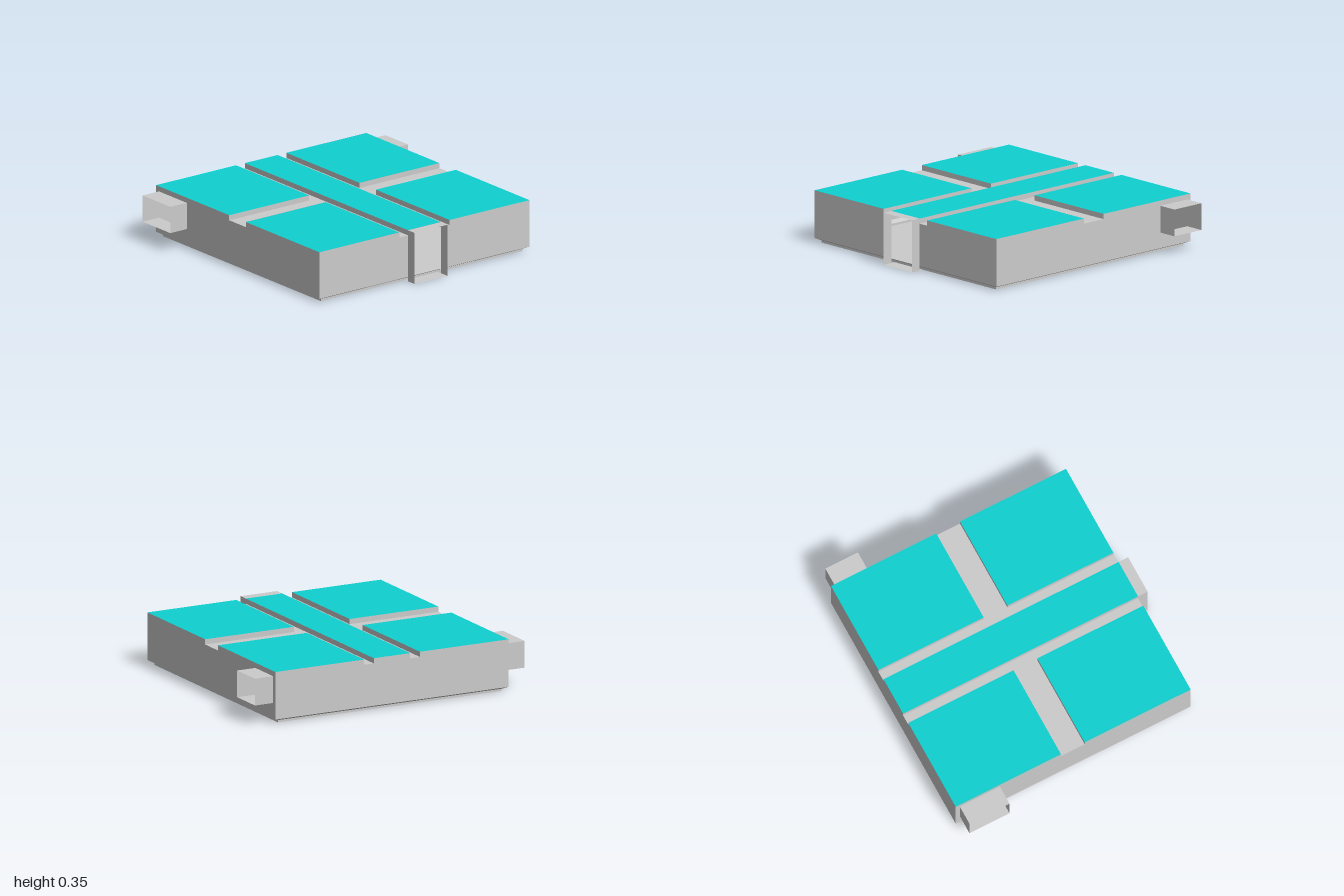
import * as THREE from 'three';

const grey = new THREE.MeshStandardMaterial({ color: 0xcccccc, side: THREE.DoubleSide, flatShading: true });
const teal = new THREE.MeshStandardMaterial({ color: 0x10d0d0, side: THREE.DoubleSide, flatShading: true });

// One mesh from a list of four-cornered sheets (corners anticlockwise from outside)
function sheets(name, quads, material = grey) {
  const pos = [];
  for (const [a, b, c, d] of quads) for (const p of [a, b, c, a, c, d]) pos.push(...p);
  const geo = new THREE.BufferGeometry();
  geo.setAttribute('position', new THREE.Float32BufferAttribute(pos, 3));
  geo.computeVertexNormals();
  const mesh = new THREE.Mesh(geo, material);
  mesh.name = name;
  return mesh;
}

// Horizontal rectangle, and the band of four walls between two of them
const rect = (x0, x1, z0, z1, y) => [[x0, y, z1], [x1, y, z1], [x1, y, z0], [x0, y, z0]];
const band = (lo, hi) => lo.map((p, i) => {
  const j = (i + 1) % 4;
  return [p, lo[j], hi[j], hi[i]];
});
// Upright rectangles facing +z or -z, and +x or -x
const wallZ = (x0, x1, y0, y1, z) => {
  const q = [[x0, y0, z], [x1, y0, z], [x1, y1, z], [x0, y1, z]];
  return z > 0 ? q : q.reverse();
};
const wallX = (z0, z1, y0, y1, x) => {
  const q = [[x, y0, z1], [x, y0, z0], [x, y1, z0], [x, y1, z1]];
  return x > 0 ? q : q.reverse();
};

export function createModel() {
  const group = new THREE.Group();
  const X0 = -0.9, X1 = 0.83, Z = 0.865;      // hollow body
  const lip = 0.03, ledge = 0.315, top = 0.35; // heights
  const strip = 0.135, gap = 0.207;           // centre strip and long grooves
  const g0 = -0.125, g1 = 0.05;               // cross groove
  const portX = -0.87, portY = 0.135;         // end ports

  // Base plate with a chamfer up to the body
  const foot = (y) => rect(-0.87, 0.8, -0.83, 0.83, y);
  const flare = band(foot(0.015), rect(X0, X1, -Z, Z, lip));
  group.add(sheets('basePlate', [foot(0).reverse(), ...band(foot(0), foot(0.015)), ...flare]));

  // Body walls up to the groove floors, with openings behind the ports
  const walls = [wallX(-Z, Z, lip, ledge, X0)];
  for (const s of [-1, 1]) {
    const end = s > 0 ? -0.575 : -0.63;
    walls.push(
      wallZ(X0, portX, lip, ledge, s * Z),
      wallZ(portX, end, lip, portY, s * Z),
      wallZ(end, X1, lip, ledge, s * Z),
      wallX(s > 0 ? strip : -Z, s > 0 ? Z : -strip, lip, ledge, X1)
    );

    // Open-ended port sleeve on the front and back
    const z0 = s > 0 ? Z : -1, z1 = s > 0 ? 1 : -Z;
    group.add(sheets(s > 0 ? 'frontPort' : 'backPort', [
      rect(portX, end, z0, z1, ledge),
      rect(portX, end, z0, z1, portY).reverse(),
      wallX(z0, z1, portY, ledge, portX),
      wallX(z0, z1, portY, ledge, end).reverse()
    ]));
  }
  group.add(sheets('bodyWalls', walls));

  // Groove floors
  const grooves = [];
  for (const s of [-1, 1]) {
    const span = (a, b) => (s > 0 ? [a, b] : [-b, -a]);
    grooves.push(rect(X0, X1, ...span(strip, gap), ledge), rect(g0, g1, ...span(gap, Z), ledge));
  }
  group.add(sheets('grooveFloors', grooves));

  // Raised top panels with grey edges
  const panels = [[X0, X1, -strip, strip]];
  for (const [x0, x1] of [[X0, g0], [g1, X1]]) panels.push([x0, x1, gap, Z], [x0, x1, -Z, -gap]);
  panels.forEach((p, i) => {
    const edges = band(rect(...p, ledge), rect(...p, top));
    if (i === 0) edges.splice(1, 1); // the centre strip opens into the side port
    group.add(sheets('topPanel', [rect(...p, top)], teal), sheets('panelEdges', edges));
  });

  // Full-height open port on the left side
  const out = 0.9;
  group.add(sheets('sidePort', [
    rect(X1, out, -strip, strip, top),
    rect(0.8, out, -strip, strip, 0).reverse(),
    wallZ(X1, out, 0, top, strip),
    wallZ(X1, out, 0, top, -strip)
  ]));
  return group;
}
